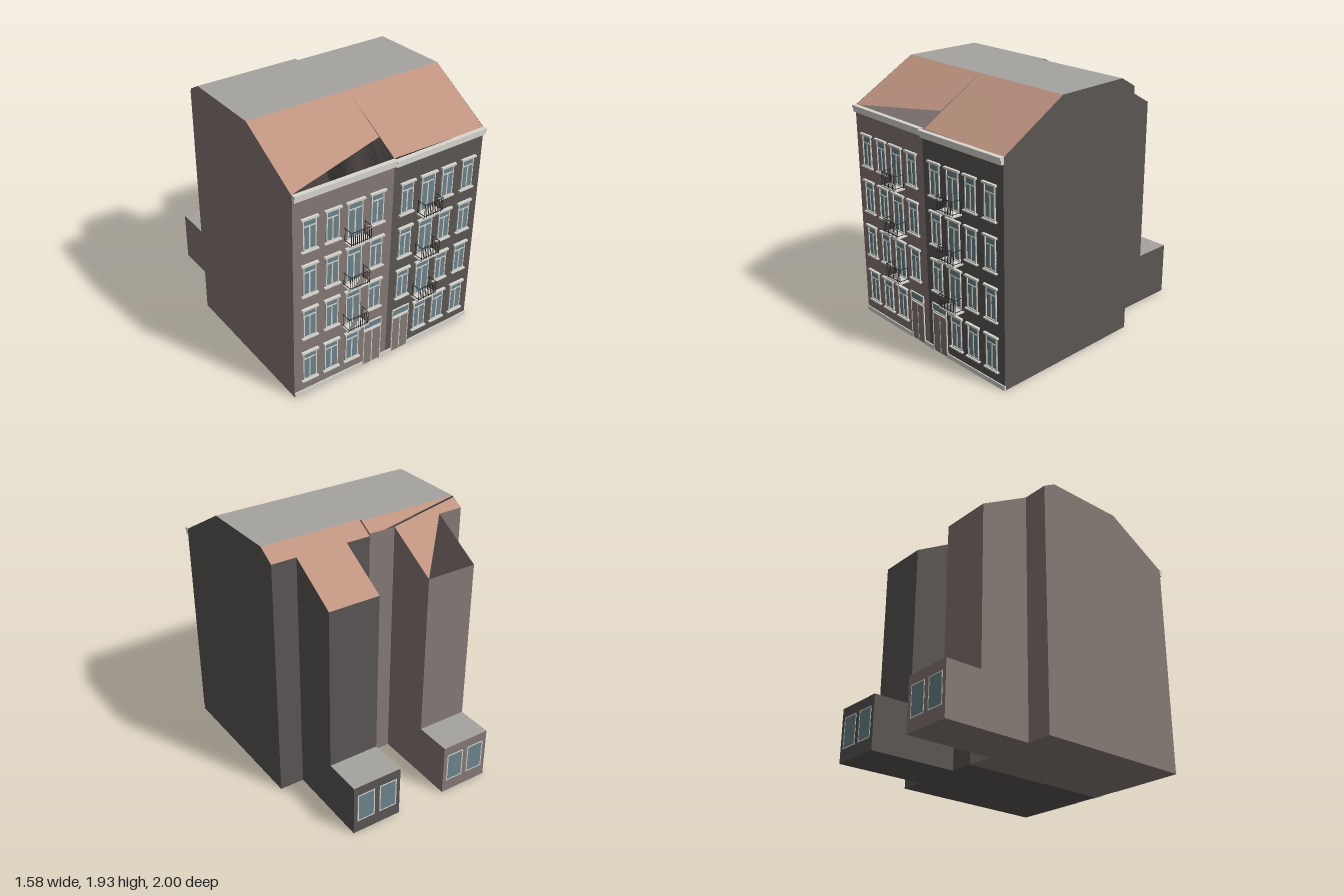
import * as THREE from 'three';

const mat = (name, color) => {
  const m = new THREE.MeshStandardMaterial({ color, side: THREE.DoubleSide });
  m.name = name;
  return m;
};

export function createModel() {
  const taupe = mat('taupe render', 0x857975);
  const dark = mat('charcoal render', 0x5a5654);
  const tile = mat('terracotta tile', 0xbf9481);
  const flat = mat('grey roofing', 0xa6a3a0);
  const trim = mat('pale stone', 0xd8d6cf);
  const glass = mat('window glass', 0x6c838c);
  const iron = mat('black iron', 0x302e2e);

  const model = new THREE.Group();
  model.name = 'townhousePair';

  // Flat polygons (convex, lists of [x, y, z]) joined into one mesh
  const faces = (parent, name, material, polys) => {
    const pos = [];
    for (const p of polys)
      for (let i = 1; i < p.length - 1; i++) pos.push(...p[0], ...p[i], ...p[i + 1]);
    const g = new THREE.BufferGeometry();
    g.setAttribute('position', new THREE.Float32BufferAttribute(pos, 3));
    g.computeVertexNormals();
    const m = new THREE.Mesh(g, material);
    m.name = name;
    parent.add(m);
  };

  // Box from its x, y and z extents
  const box = (parent, name, material, x0, x1, y0, y1, z0, z1) => {
    const m = new THREE.Mesh(new THREE.BoxGeometry(x1 - x0, y1 - y0, z1 - z0), material);
    m.position.set((x0 + x1) / 2, (y0 + y1) / 2, (z0 + z1) / 2);
    m.name = name;
    parent.add(m);
  };

  // Outer walls, rear wing and annex of one house
  const shell = (h) => {
    const g = new THREE.Group();
    g.name = h.name;
    model.add(g);
    const { xf, xb, a, b, ridge, eave, wing, wall } = h;
    const F = 0.92, E = 0.91, B = -0.32, top = 1.935;
    const yb = top - (top - eave) * (ridge - B) / (ridge - wing); // roof height at the back wall
    const upright = (x0, z0, x1, z1, y0, y1, y2 = y1) =>
      [[x0, y0, z0], [x1, y0, z1], [x1, y2, z1], [x0, y1, z0]];
    const gable = (x0, x1, z) =>
      [[x0, 0, z], [x0, eave, z], [x0, top, 0.4], [x1, top, ridge], [x1, yb, B], [x1, 0, B]];
    faces(g, 'mainWalls', wall, [
      upright(0, F, xf, E, 0, eave),
      gable(xf, xb, E), gable(0, 0, F),
      upright(0, B, a, B, 0, yb), upright(b, B, xb, B, 0, yb),
      [[0, 0, F], [0, 0, B], [xb, 0, B], [xf, 0, E]],
    ]);
    faces(g, 'rearWing', wall, [
      upright(a, B, a, wing, 0, yb, eave), upright(b, B, b, wing, 0, yb, eave),
      upright(a, wing, b, wing, 0.4, eave),
    ]);
    faces(g, 'annexWalls', wall, [
      upright(a, wing, a, -1, 0, 0.4), upright(b, wing, b, -1, 0, 0.4),
      upright(a, -1, b, -1, 0, 0.4),
      [[a, 0, B], [b, 0, B], [b, 0, -1], [a, 0, -1]],
    ]);
    faces(g, 'annexRoof', flat, [[[a, 0.4, wing], [b, 0.4, wing], [b, 0.4, -1], [a, 0.4, -1]]]);
    faces(g, 'flatRoof', flat, [[[0, top, 0.4], [xf, top, 0.4], [xb, top, ridge], [0, top, ridge]]]);
    // Tiled slopes; the torn house has open slits and half a wing roof
    if (h.torn) {
      faces(g, 'frontSlope', tile, [[[xf, eave, 0.9], [0, 1.735, 0.75], [0, top, 0.4], [xf, top, 0.4]]]);
      faces(g, 'backSlope', tile, [
        [[xb, top, ridge], [0, top, ridge], [0, yb, B], [-0.13, yb, B]],
        [[xb, top - 0.008, ridge - 0.012], [xb, yb, B], [a, yb, B]],
      ]);
      faces(g, 'wingRoof', tile, [[[a, yb, B], [b, yb, B], [a, eave, wing]]]);
    } else {
      faces(g, 'frontSlope', tile, [[[xf, eave, 0.905], [0, eave + 0.005, 0.9], [0, top, 0.4], [xf, top, 0.4]]]);
      faces(g, 'backSlope', tile, [[[xb, top, ridge], [0, top, ridge], [0, yb, B], [xb, yb, B]]]);
      faces(g, 'wingRoof', tile, [[[a, yb, B], [b, yb, B], [b, eave, wing], [a, eave, wing]]]);
    }
    // Annex windows
    for (const s of [-0.092, 0.092]) {
      const w = new THREE.Group();
      w.name = 'annexWindow';
      w.position.set((a + b) / 2 + s, 0, -1);
      w.rotation.y = Math.PI;
      g.add(w);
      box(w, 'glass', glass, -0.066, 0.066, 0.1, 0.32, -0.004, 0.001);
      frame(w, -0.072, 0.072, 0.095, 0.325, 0.009, 0.002);
    }
    return g;
  };

  // Four bars around an opening
  const frame = (p, x0, x1, y0, y1, t, d) => {
    box(p, 'frame', trim, x0, x0 + t, y0, y1, -0.005, d);
    box(p, 'frame', trim, x1 - t, x1, y0, y1, -0.005, d);
    box(p, 'frame', trim, x0 + t, x1 - t, y0, y0 + t, -0.005, d);
    box(p, 'frame', trim, x0 + t, x1 - t, y1 - t, y1, -0.005, d);
  };

  // Street window with T-shaped glazing bars, lintel and optional sill
  const streetWindow = (p, x, y0, y1, hw, sill) => {
    const w = new THREE.Group();
    w.name = 'window';
    w.position.x = x;
    p.add(w);
    box(w, 'glass', glass, -hw, hw, y0, y1, -0.004, 0.003);
    frame(w, -hw, hw, y0, y1, 0.008, 0.01);
    const bar = y1 - 0.055;
    box(w, 'transomBar', trim, -hw, hw, bar - 0.004, bar + 0.004, 0, 0.007);
    box(w, 'mullion', trim, -0.005, 0.005, y0, bar, 0, 0.007);
    box(w, 'lintel', trim, -hw - 0.014, hw + 0.014, y1 - 0.002, y1 + 0.012, -0.005, 0.02);
    if (sill) box(w, 'sill', trim, -hw - 0.014, hw + 0.014, y0 - 0.01, y0, -0.005, 0.02);
  };

  // Stone slab with an iron railing
  const balcony = (p, x, y) => {
    const g = new THREE.Group();
    g.name = 'balcony';
    g.position.set(x, y, 0);
    p.add(g);
    box(g, 'slab', trim, -0.085, 0.085, 0, 0.011, -0.005, 0.083);
    const r = 0.0018, h = 0.115, z = 0.078;
    const post = (px, pz) => box(g, 'baluster', iron, px - r, px + r, 0.011, h, pz - r, pz + r);
    for (let i = 0; i <= 10; i++) post(-0.08 + i * 0.016, z);
    for (const s of [-0.08, 0.08]) {
      post(s, 0.008);
      box(g, 'sideRail', iron, s - r, s + r, h - 0.004, h, 0, z);
      box(g, 'sideRail', iron, s - r, s + r, 0.02, 0.024, 0, z);
    }
    box(g, 'topRail', iron, -0.082, 0.082, h - 0.004, h, z - r, z + r);
    box(g, 'bottomRail', iron, -0.082, 0.082, 0.02, 0.024, z - r, z + r);
  };

  // Street door with two leaves and a fanlight
  const door = (p, x) => {
    const g = new THREE.Group();
    g.name = 'streetDoor';
    g.position.x = x;
    p.add(g);
    for (const s of [-1, 1])
      box(g, 'doorLeaf', taupe, s * 0.037 - 0.033, s * 0.037 + 0.033, 0.008, 0.305, -0.004, 0.005);
    box(g, 'doorGap', trim, -0.004, 0.004, 0.008, 0.305, 0, 0.006);
    for (const s of [-1, 1])
      box(g, 'jamb', trim, s * 0.073 - 0.003, s * 0.073 + 0.003, 0, 0.312, -0.004, 0.009);
    box(g, 'doorHead', trim, -0.076, 0.076, 0.305, 0.312, -0.004, 0.009);
    box(g, 'fanlight', glass, -0.073, 0.073, 0.328, 0.382, -0.004, 0.004);
    frame(g, -0.077, 0.077, 0.323, 0.387, 0.006, 0.01);
  };

  // Trim, windows, balconies and door on the street front
  const facade = (house, side, cols, balconyCol, doorX, drop, eave) => {
    const f = new THREE.Group();
    f.name = 'streetFront';
    f.position.z = 0.92;
    f.rotation.y = side * 0.0127;
    house.add(f);
    const span = (name, a, b, y0, y1, d) =>
      box(f, name, trim, Math.min(side * a, side * b), Math.max(side * a, side * b), y0, y1, -0.005, d);
    span('cornice', 0, 0.789, eave - 0.045, eave + 0.003, 0.022);
    span('corniceLip', 0, 0.789, eave - 0.012, eave + 0.005, 0.03);
    span('plinth', 0, Math.abs(doorX) - 0.076, 0, 0.035, 0.008);
    span('plinth', Math.abs(doorX) + 0.076, 0.789, 0, 0.035, 0.008);
    for (const base of [1.21, 0.855, 0.5]) {
      const y = base - drop;
      for (const x of cols) {
        const isDoor = x === balconyCol;
        streetWindow(f, x, isDoor ? y - 0.045 : y, y + 0.235, isDoor ? 0.06 : 0.051, !isDoor);
      }
      balcony(f, balconyCol, y - 0.058);
    }
    for (const x of cols)
      if (Math.abs(x) > 0.2) streetWindow(f, x, 0.125 - drop / 2, 0.365, 0.054, true);
    door(f, doorX);
  };

  const rightHouse = shell({
    name: 'rightHouse', wall: taupe, torn: true,
    xf: -0.79, xb: -0.79, a: -0.205, b: -0.595, ridge: -0.22, eave: 1.648, wing: -0.72,
  });
  facade(rightHouse, -1, [-0.665, -0.487, -0.311, -0.132], -0.311, -0.132, 0, 1.648);

  const leftHouse = shell({
    name: 'leftHouse', wall: dark, torn: false,
    xf: 0.787, xb: 0.765, a: 0.187, b: 0.577, ridge: -0.19, eave: 1.637, wing: -0.705,
  });
  facade(leftHouse, 1, [0.12, 0.303, 0.478, 0.663], 0.303, 0.123, 0.01, 1.637);

  return model;
}
